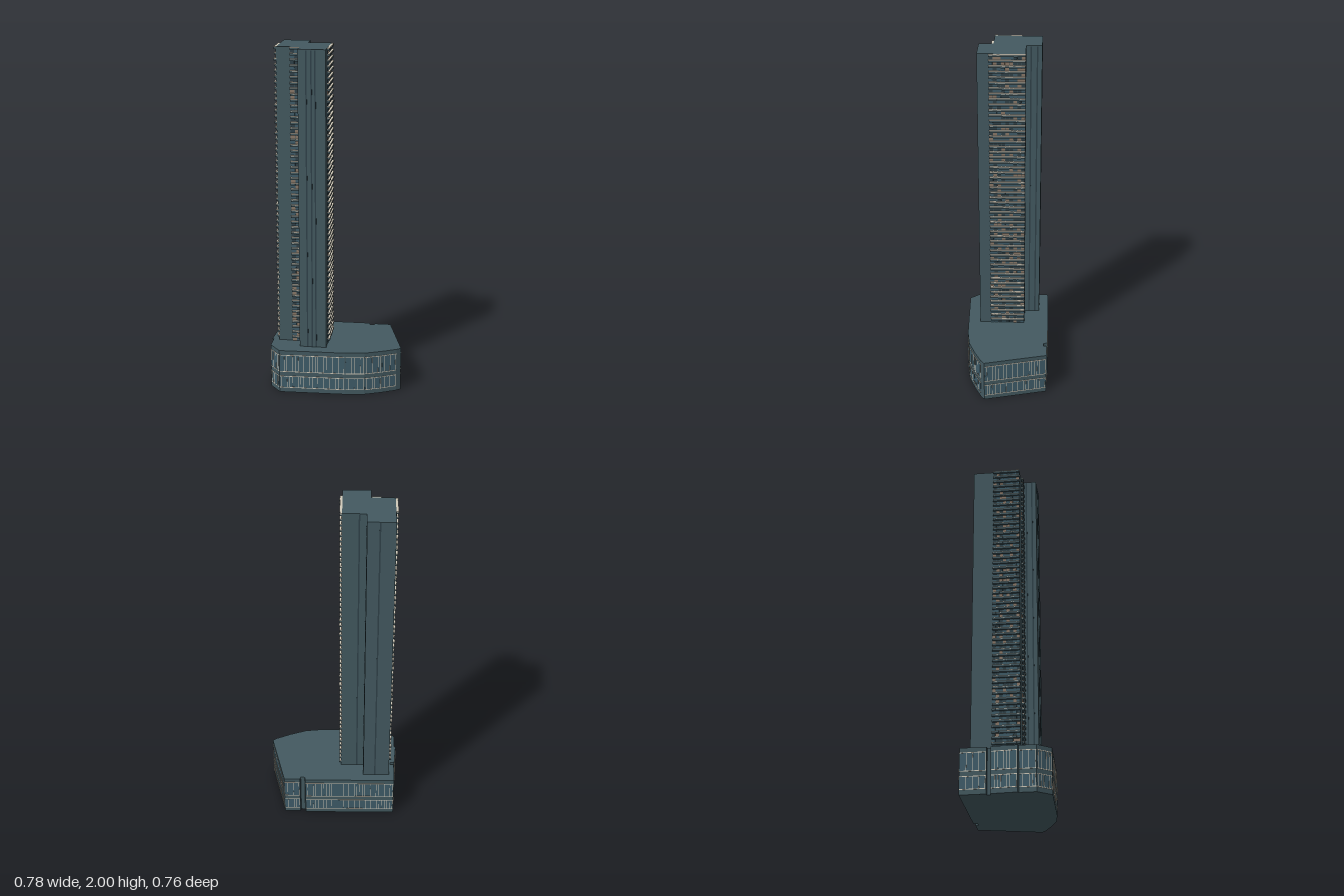
import * as THREE from 'three';
import { mergeGeometries } from 'three/addons/utils/BufferGeometryUtils.js';

const PODIUM_H = 0.26, TOP = 2, FLOORS = 54;

// Plan outlines as [x, z], clockwise seen from above
const podiumPlan = [
  [-0.125, -0.38], [0.293, -0.047], [0.282, -0.026], [0.3, -0.01], [0.315, -0.021],
  [0.388, 0.038], [0.232, 0.377], [0.2, 0.377], [0.11, 0.357], [0.01, 0.326],
  [-0.085, 0.268], [-0.39, 0.035], [-0.39, -0.065], [-0.33, -0.137], [-0.333, -0.147],
  [-0.235, -0.252], [-0.212, -0.238], [-0.202, -0.253], [-0.218, -0.268],
];
const towerPlan = [
  [-0.135, -0.32], [-0.015, -0.222], [-0.07, -0.152], [0.032, -0.07],
  [-0.135, 0.14], [-0.255, 0.04], [-0.203, -0.025], [-0.304, -0.108],
];

function material(name, color, side = THREE.FrontSide) {
  const m = new THREE.MeshStandardMaterial({ color, side });
  m.name = name;
  return m;
}

function prism(plan, y0, y1) {
  const shape = new THREE.Shape(plan.map(([x, z]) => new THREE.Vector2(x, -z)));
  const g = new THREE.ExtrudeGeometry(shape, { depth: y1 - y0, bevelEnabled: false });
  return g.rotateX(-Math.PI / 2).translate(0, y0, 0);
}

// Wall between corner i and the next one
function wall(plan, i) {
  const a = plan[i], b = plan[(i + 1) % plan.length];
  const dx = b[0] - a[0], dz = b[1] - a[1], length = Math.hypot(dx, dz);
  return { a, length, dx: dx / length, dz: dz / length };
}

// Box on a wall: s0..s1 along it, y0..y1 up it, standing out by depth
function onWall(w, s0, s1, y0, y1, depth) {
  const s = (s0 + s1) / 2, sunk = 0.001;
  const g = new THREE.BoxGeometry(s1 - s0, y1 - y0, depth + sunk);
  const out = (depth - sunk) / 2;
  return g.rotateY(Math.atan2(-w.dz, w.dx)).translate(
    w.a[0] + w.dx * s + w.dz * out, (y0 + y1) / 2, w.a[1] + w.dz * s - w.dx * out);
}

function seeded(seed) {
  return () => (seed = (seed * 16807) % 2147483647) / 2147483647;
}

export function createModel() {
  const group = new THREE.Group();
  group.name = 'towerBuilding';
  const cladding = material('slate cladding', 0x435960);
  const glass = material('blue glass', 0x3f5c69);
  const dark = material('dark glazing', 0x2f4149);
  const cream = material('cream trim', 0xcfc8b8);
  const tan = material('tan panel', 0x8a7868);
  const rand = seeded(421);

  const add = (name, parts, mat) => {
    const mesh = new THREE.Mesh(mergeGeometries(parts), mat);
    mesh.name = name;
    group.add(mesh);
  };

  add('podium', [prism(podiumPlan, 0, PODIUM_H)], cladding);
  add('tower', [prism(towerPlan, PODIUM_H, TOP)], cladding);

  // Podium: two window bands with cream rails and uneven mullions
  const bands = [[0.03, 0.1], [0.13, 0.232]];
  const panes = [], trim = [];
  podiumPlan.forEach((_, i) => {
    const w = wall(podiumPlan, i);
    if (w.length < 0.05) return;
    for (const [y0, y1] of bands) {
      panes.push(onWall(w, 0.004, w.length - 0.004, y0, y1, 0.0008));
      for (const y of [y0, y1]) trim.push(onWall(w, 0.002, w.length - 0.002, y - 0.002, y + 0.002, 0.002));
      for (let s = 0.006; s < w.length - 0.006; s += rand() < 0.45 ? 0.016 : 0.034) {
        trim.push(onWall(w, s - 0.0013, s + 0.0013, y0, y1, 0.002));
      }
    }
  });
  add('podiumWindows', panes, glass);
  add('podiumFrames', trim, cream);

  // Tower balconies: [wall, start, end, bays] as fractions of each wall
  const stacks = [[3, 0, 0.76, 9], [7, 0, 0.57, 8], [6, 0.02, 0.42, 2]];
  const step = (TOP - PODIUM_H) / FLOORS;
  const fronts = [], slabs = [], infill = { glass: [], dark: [], tan: [] };
  for (const [i, f0, f1, bays] of stacks) {
    const w = wall(towerPlan, i);
    const s0 = w.length * f0, bay = w.length * (f1 - f0) / bays;
    for (let k = 0; k < FLOORS; k++) {
      const y = PODIUM_H + k * step, top = y + step;
      for (let b = 0; b < bays; b++) {
        const s = s0 + b * bay, depth = 0.0125 + rand() * 0.003;
        // Solid front with a pale slab on top
        fronts.push(onWall(w, s, s + bay, top - 0.013, top - 0.004, depth));
        slabs.push(onWall(w, s, s + bay, top - 0.004, top - 0.0005, depth));
        // Mixed glazing and panels behind
        const r = rand(), kind = r < 0.45 ? 'glass' : r < 0.82 ? 'dark' : 'tan';
        infill[kind].push(onWall(w, s + 0.001, s + bay - 0.001, y, top - 0.013, 0.003));
      }
    }
  }
  add('balconyFronts', fronts, cladding);
  add('balconySlabs', slabs, cream);
  add('balconyGlass', infill.glass, glass);
  add('balconyDarkGlass', infill.dark, dark);
  add('balconyPanels', infill.tan, tan);

  // Narrow full-height glazing strips on the end walls: [wall, fractions]
  const strips = [];
  for (const [i, places] of [[4, [0.38, 0.52, 0.7]], [0, [0.55]], [2, [0.3]], [1, [0.3, 0.7]], [5, [0.3, 0.7]]]) {
    const w = wall(towerPlan, i);
    for (const f of places) {
      strips.push(onWall(w, w.length * f - 0.004, w.length * f + 0.004, PODIUM_H, TOP - 0.005, 0.001));
    }
  }
  add('verticalGlazing', strips, dark);

  return group;
}
